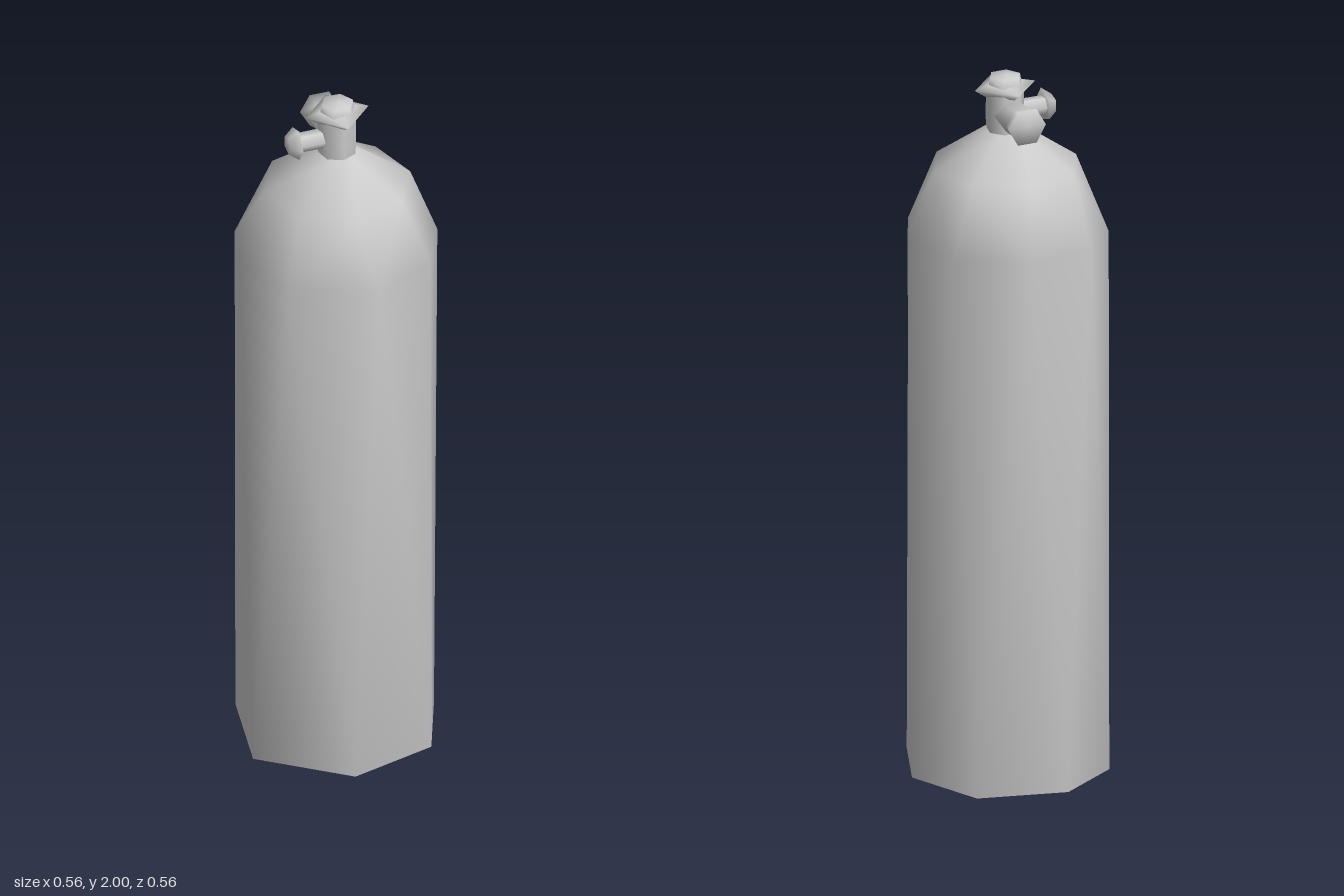
import * as THREE from 'three';

const TAU = Math.PI * 2;
const material = new THREE.MeshStandardMaterial({ color: 0xcccccc, side: THREE.DoubleSide });

const angle = ([x, z]) => (Math.atan2(z, x) + TAU) % TAU;

// Regular ring of n points
const ring = (n, r, turn) =>
  Array.from({ length: n }, (_, i) => {
    const a = turn + (i / n) * TAU;
    return [r * Math.cos(a), r * Math.sin(a)];
  });

// Closed smooth skin through stacked rings whose point counts may differ
function skin(levels) {
  const pos = [];
  const index = [];
  const rings = levels.map(({ y, points }) => {
    const sorted = [...points].sort((a, b) => angle(a) - angle(b));
    const start = pos.length / 3;
    sorted.forEach(([x, z]) => pos.push(x, y, z));
    return { start, n: sorted.length, angles: sorted.map(angle) };
  });
  const next = (r, i) => (i + 1 < r.n ? r.angles[i + 1] : r.angles[0] + TAU);
  for (let k = 0; k + 1 < rings.length; k++) {
    const lo = rings[k];
    const up = rings[k + 1];
    let i = 0;
    let j = 0;
    while (i < lo.n || j < up.n) {
      const a = lo.start + (i % lo.n);
      const b = up.start + (j % up.n);
      if (j >= up.n || (i < lo.n && next(lo, i) <= next(up, j))) {
        index.push(a, b, lo.start + (++i % lo.n));
      } else {
        index.push(a, b, up.start + (++j % up.n));
      }
    }
  }
  // Fan caps at both ends
  const cap = (r, y, down) => {
    const c = pos.length / 3;
    pos.push(0, y, 0);
    for (let i = 0; i < r.n; i++) {
      const a = r.start + i;
      const b = r.start + ((i + 1) % r.n);
      index.push(c, down ? a : b, down ? b : a);
    }
  };
  cap(rings[0], levels[0].y, true);
  cap(rings.at(-1), levels.at(-1).y, false);
  const g = new THREE.BufferGeometry();
  g.setAttribute('position', new THREE.Float32BufferAttribute(pos, 3));
  g.setIndex(index);
  g.computeVertexNormals();
  return g;
}

// Low-sided turned part from [radius, height] pairs
const turned = (profile, sides, turn = 0) =>
  new THREE.LatheGeometry(profile.map(([r, y]) => new THREE.Vector2(r, y)), sides, turn);

export function createModel() {
  const model = new THREE.Group();
  const add = (name, geometry, parent = model) => {
    const mesh = new THREE.Mesh(geometry, material);
    mesh.name = name;
    parent.add(mesh);
    return mesh;
  };

  // Tank: irregular faceted wall, sloping shoulder and small neck
  const base = [[0.28, 0], [0.195, 0.21], [-0.05, 0.28], [-0.28, 0.1],
    [-0.23, -0.175], [-0.055, -0.283], [0.19, -0.22]];
  const wallTop = [[0.275, 0.04], [0.2, 0.19], [0.02, 0.28], [-0.21, 0.19], [-0.28, 0],
    [-0.245, -0.14], [-0.14, -0.25], [0.05, -0.272], [0.23, -0.15]];
  add('tankBody', skin([
    { y: 0, points: base },
    { y: 1.55, points: wallTop },
    { y: 1.74, points: ring(8, 0.205, 0.1) },
    { y: 1.84, points: ring(6, 0.06, 0.1) },
  ]));

  // Valve on top
  const valve = new THREE.Group();
  valve.name = 'valve';
  model.add(valve);

  add('valveStem', turned([[0.05, 1.82], [0.054, 1.87], [0.053, 1.96]], 7), valve);

  // Four-pointed hand wheel with a square hub
  add('handWheel', turned([[0, 1.94], [0.06, 1.943], [0.091, 1.965], [0.05, 1.975], [0, 1.975]], 4), valve);
  add('wheelHub', turned([[0.05, 1.97], [0.045, 1.995], [0, 2]], 6, Math.PI / 6), valve);

  // Outlet pointing backwards, slightly flared
  const outlet = add('outlet', turned(
    [[0, 0], [0.044, 0], [0.044, 0.1], [0.056, 0.14], [0, 0.14]], 6, Math.PI / 6), valve);
  outlet.rotation.x = -Math.PI / 2;
  outlet.position.y = 1.892;

  // Side spindle ending in a small pointed knob
  const side = new THREE.Group();
  side.name = 'sideKnob';
  side.rotation.z = Math.PI / 2;
  side.position.y = 1.89;
  valve.add(side);
  add('spindle', turned([[0.028, 0.03], [0.027, 0.125]], 6), side);
  add('knob', turned([[0, 0.115], [0.048, 0.115], [0.026, 0.144], [0, 0.148]], 5), side);

  return model;
}
